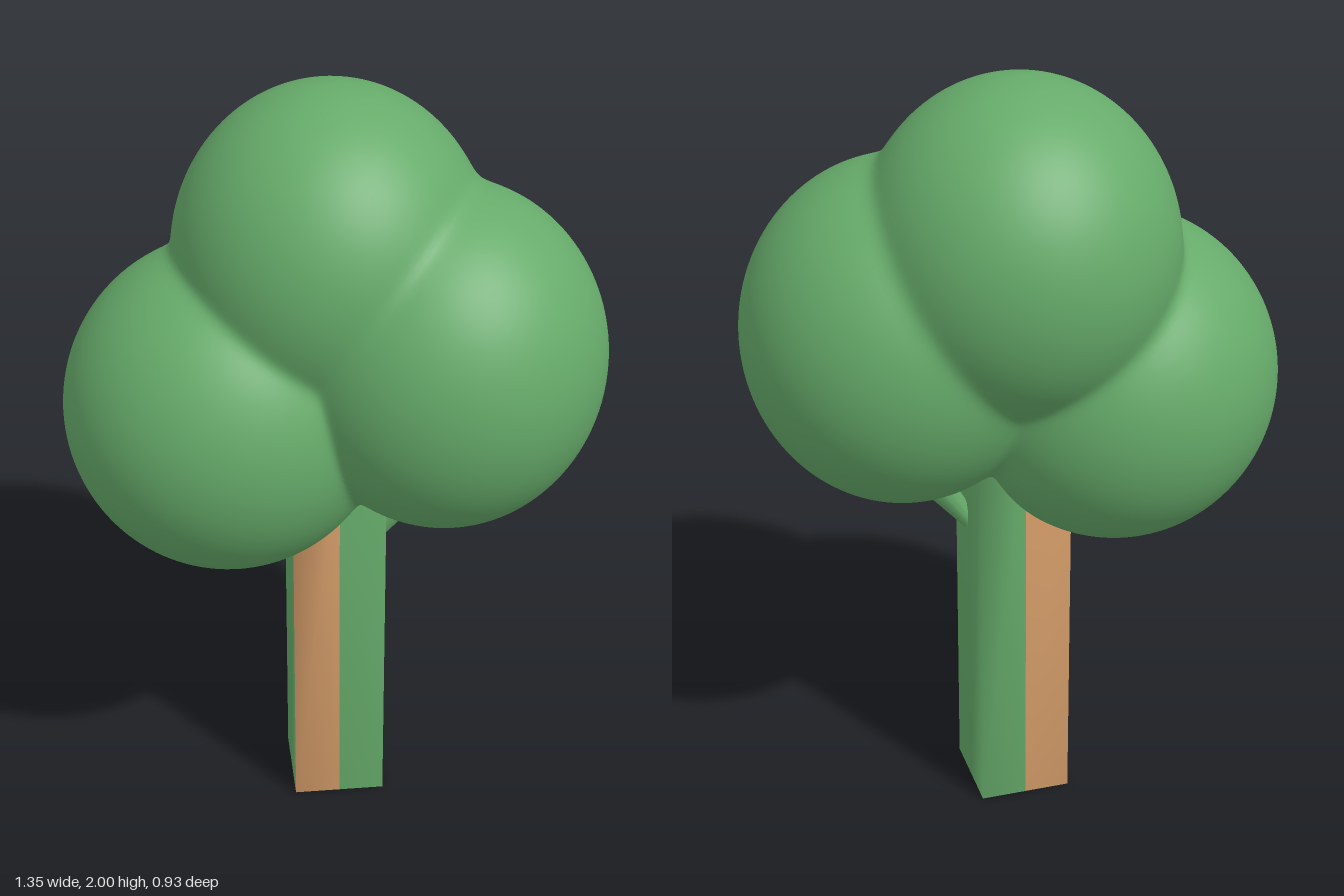
import * as THREE from 'three';
import { mergeVertices } from 'three/addons/utils/BufferGeometryUtils.js';

const material = (name, color) => Object.assign(new THREE.MeshStandardMaterial({ color }), { name });

// Weld shared corners so the shading runs smoothly over the edges
function weld(geometry) {
  geometry.deleteAttribute('normal');
  geometry.deleteAttribute('uv');
  const welded = mergeVertices(geometry, 1e-4);
  welded.computeVertexNormals();
  return welded;
}

function mesh(name, geometry, mat) {
  const m = new THREE.Mesh(geometry, mat);
  m.name = name;
  return m;
}

// Ellipsoid lobes of the crown: centre and radii
const lobes = [
  { c: [-0.265, 1.18, -0.025], r: [0.415, 0.43, 0.405] },
  { c: [0.0, 1.57, -0.063], r: [0.395, 0.43, 0.403] },
  { c: [0.27, 1.335, 0.06], r: [0.405, 0.445, 0.405] },
].map(({ c, r }) => ({ c: new THREE.Vector3(...c), r: new THREE.Vector3(...r) }));

// Crown: a sphere pushed outwards to the softly blended union of the lobes
function crownGeometry() {
  const core = new THREE.Vector3(0, 1.35, 0);
  const soft = 0.012;
  const geometry = weld(new THREE.IcosahedronGeometry(1, 40));
  const pos = geometry.attributes.position;
  const dir = new THREE.Vector3();
  for (let i = 0; i < pos.count; i++) {
    dir.fromBufferAttribute(pos, i).normalize();
    // Distance from the core to the far side of each lobe
    const exits = lobes.map(({ c, r }) => {
      const o = core.clone().sub(c).divide(r);
      const d = dir.clone().divide(r);
      const a = d.dot(d), b = o.dot(d);
      return (-b + Math.sqrt(b * b - a * (o.dot(o) - 1))) / a;
    });
    const far = Math.max(...exits);
    const blend = far + soft * Math.log(exits.reduce((s, e) => s + Math.exp((e - far) / soft), 0));
    pos.setXYZ(i, core.x + dir.x * blend, core.y + dir.y * blend, core.z + dir.z * blend);
  }
  geometry.computeVertexNormals();
  return geometry;
}

// Trunk: square post, each side split down the middle for its colours
function trunkGeometry() {
  const geometry = weld(new THREE.BoxGeometry(0.24, 1.1, 0.24, 2, 1, 2));
  geometry.clearGroups();
  const GREEN = 0, BROWN = 1, PURPLE = 2;
  [
    [48, GREEN],             // both sides and top
    [12, PURPLE], [12, BROWN], // underside
    [6, BROWN], [6, GREEN],  // front
    [6, GREEN], [6, BROWN],  // back
  ].reduce((start, [count, index]) => {
    geometry.addGroup(start, count, index);
    return start + count;
  }, 0);
  return geometry;
}

// Short tapering twig from the trunk into the crown
function twig(name, from, to, mat) {
  const a = new THREE.Vector3(...from), b = new THREE.Vector3(...to);
  const m = mesh(name, new THREE.CylinderGeometry(0.045, 0.022, a.distanceTo(b), 12), mat);
  m.position.copy(a).lerp(b, 0.5);
  m.quaternion.setFromUnitVectors(new THREE.Vector3(0, 1, 0), b.sub(a).normalize());
  return m;
}

export function createModel() {
  const green = material('leaf green', 0x66ab6a);
  const brown = material('bark brown', 0xd69e6a);
  const purple = material('base purple', 0x87628f);

  const tree = new THREE.Group();
  tree.name = 'tree';

  const trunk = mesh('trunk', trunkGeometry(), [green, brown, purple]);
  trunk.position.set(0.005, 0.55, -0.02);

  tree.add(
    trunk,
    mesh('crown', crownGeometry(), green),
    twig('leftTwig', [0.115, 0.79, 0.005], [0.23, 0.95, 0.01], green),
    twig('rightTwig', [-0.105, 0.78, 0], [-0.2, 0.9, 0], green),
  );
  return tree;
}
